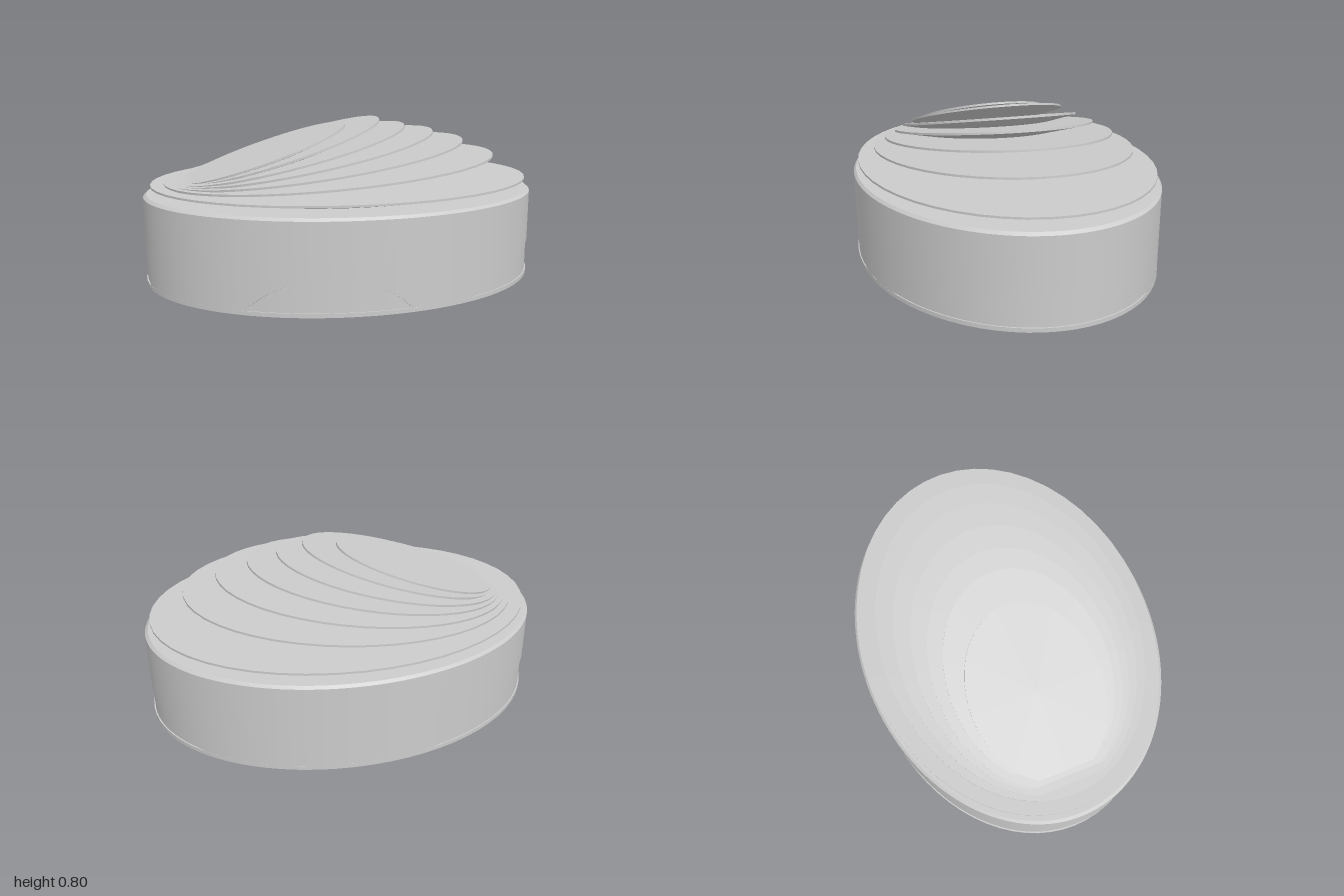
import * as THREE from 'three';
import { toCreasedNormals } from 'three/addons/utils/BufferGeometryUtils.js';

const ASPECT = 0.755; // depth to width of every oval
const material = new THREE.MeshStandardMaterial({ color: 0xcccccc });

// Oval solid turned from a bottom-to-top profile; rule may move each vertex (i = profile index)
function oval(name, profile, segments, rule) {
  const geo = new THREE.LatheGeometry(profile.map(([x, y]) => new THREE.Vector2(x, y)), segments);
  if (rule) {
    const pos = geo.attributes.position;
    for (let k = 0; k < pos.count; k++) rule(pos, k, k % profile.length);
  }
  geo.scale(1, 1, ASPECT);
  const mesh = new THREE.Mesh(toCreasedNormals(geo, 0.45), material);
  mesh.name = name;
  return mesh;
}

// Shallow arched recesses along the foot of the wall: centre angle, half span (degrees)
const arches = [[103, 22], [13.5, 49], [-146, 44]];
function archHeight(angle) {
  for (const [centre, half] of arches) {
    const d = Math.abs(((angle - centre + 540) % 360) - 180) / half;
    if (d < 1) return 0.16 * Math.pow(Math.cos(d * Math.PI / 2), 0.8);
  }
  return 0;
}

export function createModel() {
  const model = new THREE.Group();

  // Foot plate with a recessed floor and a raised central boss
  model.add(oval('footPlate', [
    [0, 0.004], [0.28, 0.004], [0.33, 0.018], [0.82, 0.018], [0.9, 0.004], [0.91, 0],
    [1, 0], [1, 0.02], [0, 0.02],
  ], 72));

  // Drum wall: the two lowest rows are sunk inside the arches
  const wall = [[1, 0.02], [1, 0.02], [1, 0.021], [1, 0.43], [0.985, 0.443], [0, 0.443]];
  model.add(oval('drum', wall, 120, (pos, k, i) => {
    if (i > 2) return;
    const x = pos.getX(k), z = pos.getZ(k);
    const h = archHeight(THREE.MathUtils.radToDeg(Math.atan2(z, x)));
    const r = h > 0 && i < 2 ? 0.993 : 0.999;
    pos.setXYZ(k, x * r, wall[i][1] + (i > 0 ? h : 0), z * r);
  }));

  // Fanned stack of oval plates: left tip x, y, right tip x, y, bevel width, depth
  const plates = [
    [-0.965, 0.488, 0.972, 0.5, 0.23, 0.05],
    [-0.9, 0.494, 0.8, 0.617, 0.36, 0.055],
    [-0.875, 0.494, 0.635, 0.692, 0.34, 0.055],
    [-0.855, 0.494, 0.475, 0.738, 0.32, 0.055],
    [-0.845, 0.494, 0.325, 0.768, 0.3, 0.055],
    [-0.815, 0.494, 0.192, 0.8, 0.28, 0.055],
    [-0.82, 0.496, 0.013, 0.775, 0.2, 0.045],
  ];
  const fan = new THREE.Group();
  fan.name = 'plateFan';
  plates.forEach(([x0, y0, x1, y1, bevel, depth], n) => {
    const a = Math.hypot(x1 - x0, y1 - y0) / 2;
    const plate = oval('plate' + (n + 1),
      [[0, -depth], [a - bevel, -depth], [a, -0.01], [a, 0], [0, 0]], 48);
    plate.position.set((x0 + x1) / 2, (y0 + y1) / 2, 0);
    plate.rotation.z = Math.atan2(y1 - y0, x1 - x0);
    fan.add(plate);
  });
  model.add(fan);
  return model;
}
